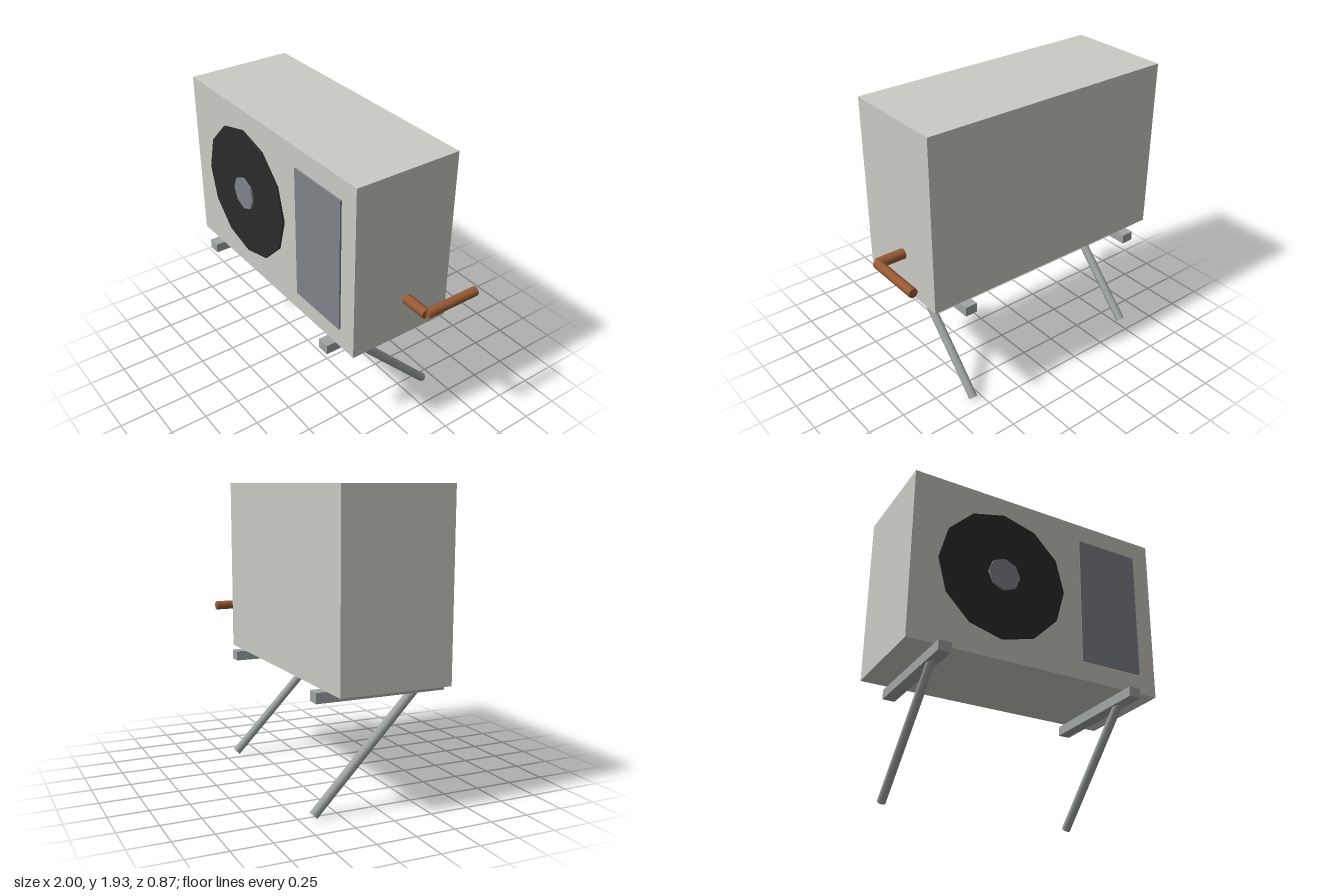
import * as THREE from 'three';

const material = (name, color) => {
  const m = new THREE.MeshStandardMaterial({ color });
  m.name = name;
  return m;
};

export function createModel() {
  const casingPaint = material('casing paint', 0xcbcac4);
  const darkGrille = material('dark grille', 0x2b2b2b);
  const panelGrey = material('panel grey', 0x7f8389);
  const steel = material('bracket steel', 0xa0a4a4);
  const copper = material('copper', 0x985a34);

  const model = new THREE.Group();
  model.name = 'outdoorUnit';

  const add = (name, geometry, mat) => {
    const mesh = new THREE.Mesh(geometry, mat);
    mesh.name = name;
    model.add(mesh);
    return mesh;
  };
  // Box given by its lower and upper corners
  const box = (name, mat, a, b) => {
    const mesh = add(name, new THREE.BoxGeometry(b[0] - a[0], b[1] - a[1], b[2] - a[2]), mat);
    mesh.position.set((a[0] + b[0]) / 2, (a[1] + b[1]) / 2, (a[2] + b[2]) / 2);
  };
  // Round bar between two points
  const bar = (name, mat, radius, sides, a, b) => {
    const start = new THREE.Vector3(...a);
    const along = new THREE.Vector3(...b).sub(start);
    const length = along.length();
    const mesh = add(name, new THREE.CylinderGeometry(radius, radius, length, sides), mat);
    mesh.position.copy(start).addScaledVector(along, 0.5);
    mesh.quaternion.setFromUnitVectors(new THREE.Vector3(0, 1, 0), along.normalize());
  };

  // Casing and front details
  box('casing', casingPaint, [-1, 0.765, -0.35], [0.785, 1.93, 0.37]);
  box('servicePanel', panelGrey, [0.208, 0.9, 0.365], [0.655, 1.795, 0.381]);
  bar('fanGrille', darkGrille, 0.447, 12, [-0.375, 1.35, 0.365], [-0.375, 1.35, 0.383]);
  bar('fanHub', panelGrey, 0.112, 8, [-0.375, 1.35, 0.375], [-0.375, 1.35, 0.397]);

  // Wall brackets: a rail and a slanted strut under each end
  for (const x of [-0.78, 0.565]) {
    box('bracketRail', steel, [x - 0.042, 0.7, -0.415], [x + 0.042, 0.765, 0.435]);
    bar('bracketStrut', steel, 0.03, 8, [x, 0.72, 0.257], [x, 0.024, -0.414]);
  }

  // Refrigerant pipe leaving the side and turning back to the wall
  bar('pipeOutlet', copper, 0.034, 8, [0.77, 1.035, -0.026], [0.967, 1.035, -0.026]);
  bar('pipeToWall', copper, 0.031, 8, [0.969, 1.035, -0.024], [0.969, 1.035, -0.415]);

  return model;
}
